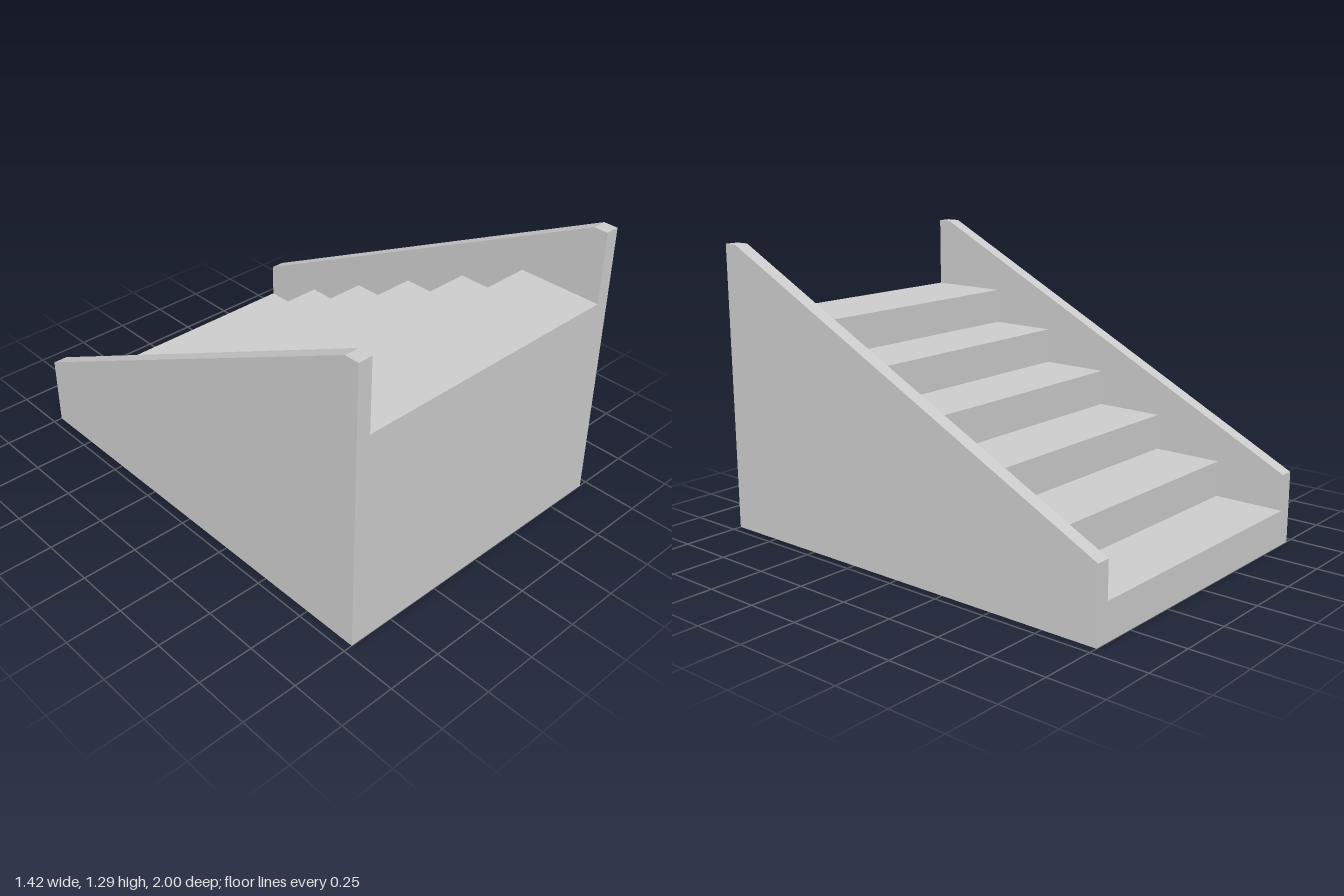
import * as THREE from 'three';

const STEPS = 6;
const UNIT = 2 / 62;
const RISE = 5 * UNIT;
const RUN = 10 * UNIT;
const HALF_WIDTH = 22 * UNIT;
const WALL = 2 * UNIT;

export function createModel() {
  const group = new THREE.Group();
  group.name = 'staircase';
  const material = new THREE.MeshStandardMaterial({ color: 0xcccccc, flatShading: true });

  // Extrudes a (z, y) side profile along x, centred on the given x
  function addProfile(name, points, width, x) {
    const shape = new THREE.Shape(points.map(([z, y]) => new THREE.Vector2(z, y)));
    const geometry = new THREE.ExtrudeGeometry(shape, { depth: width, bevelEnabled: false });
    geometry.translate(0, 0, -width / 2).rotateY(-Math.PI / 2);
    const mesh = new THREE.Mesh(geometry, material);
    mesh.name = name;
    mesh.position.x = x;
    group.add(mesh);
  }

  // Solid flight of steps climbing towards the front; the top tread is deeper
  const steps = [[1, 0], [-1, 0]];
  for (let i = 0; i < STEPS; i++) {
    const y = (i + 1) * RISE;
    steps.push([-1 + i * RUN, y], [i === STEPS - 1 ? 1 : -1 + (i + 1) * RUN, y]);
  }
  addProfile('steps', steps, 2 * (HALF_WIDTH - WALL), 0);

  // Sloping side walls with a short flat top
  const top = (STEPS + 2) * RISE;
  const wall = [[1, 0], [-1, 0], [-1, 2 * RISE], [-1 + STEPS * RUN, top], [1, top]];
  for (const [name, side] of [['leftWall', 1], ['rightWall', -1]]) {
    addProfile(name, wall, WALL, side * (HALF_WIDTH - WALL / 2));
  }
  return group;
}
